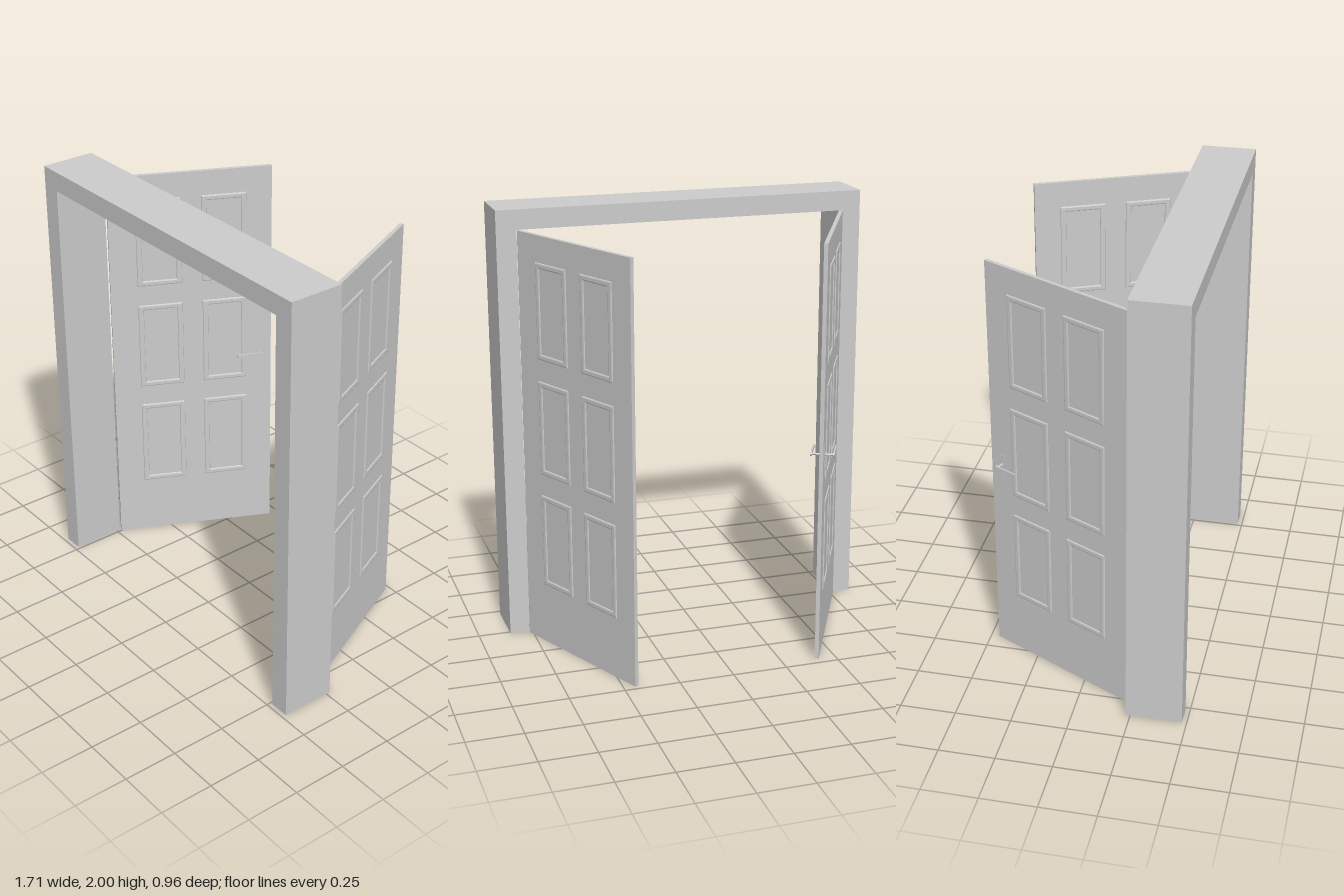
import * as THREE from 'three';

const HEIGHT = 1.91, WIDTH = 0.765, THICK = 0.018;
const material = new THREE.MeshStandardMaterial({ color: 0xcccccc, flatShading: true });

function add(parent, name, geometry, x = 0, y = 0, z = 0) {
  const mesh = new THREE.Mesh(geometry, material);
  mesh.name = name;
  mesh.position.set(x, y, z);
  parent.add(mesh);
  return mesh;
}

// Rectangle centred on the origin, as a shape or as a hole
function rectangle(path, w, h) {
  return path.moveTo(-w / 2, -h / 2).lineTo(w / 2, -h / 2).lineTo(w / 2, h / 2).lineTo(-w / 2, h / 2).closePath();
}

// Bevelled moulding ring that stands proud of both door faces
function mouldingGeometry(w, h, border) {
  const shape = rectangle(new THREE.Shape(), w, h);
  shape.holes.push(rectangle(new THREE.Path(), w - 2 * border, h - 2 * border));
  const bevel = 0.006, depth = THICK;
  return new THREE.ExtrudeGeometry(shape, {
    depth, bevelEnabled: true, bevelThickness: 0.005, bevelSize: bevel, bevelOffset: -bevel, bevelSegments: 2,
  }).translate(0, 0, -depth / 2);
}

// Door leaf: hinge at the local origin, leaf running along +x
function makeDoor(name) {
  const door = new THREE.Group();
  door.name = name;
  add(door, 'doorLeaf', new THREE.BoxGeometry(WIDTH, HEIGHT, THICK), WIDTH / 2, HEIGHT / 2, 0);
  const moulding = mouldingGeometry(0.212, 0.435, 0.026);
  for (const x of [0.233, 0.54])
    for (const y of [0.503, 1.038, 1.573]) add(door, 'panelMoulding', moulding, x, y, 0);
  return door;
}

// Lever handle on both faces with a slim back plate and keyhole
function makeHandle() {
  const handle = new THREE.Group();
  handle.name = 'handle';
  add(handle, 'spindle', new THREE.CylinderGeometry(0.005, 0.005, 0.104, 12).rotateX(Math.PI / 2));
  for (const side of [1, -1]) {
    add(handle, 'lever', new THREE.BoxGeometry(0.115, 0.016, 0.007), -0.053, 0, side * 0.05);
    add(handle, 'leverHub', new THREE.CylinderGeometry(0.011, 0.011, 0.008, 16).rotateX(Math.PI / 2), 0, 0, side * 0.05);
    add(handle, 'backPlate', new THREE.BoxGeometry(0.026, 0.14, 0.003), 0, -0.025, side * 0.0095);
    add(handle, 'keyhole', new THREE.CylinderGeometry(0.005, 0.005, 0.004, 10).rotateX(Math.PI / 2), 0, -0.05, side * 0.011);
  }
  return handle;
}

export function createModel() {
  const model = new THREE.Group();
  model.name = 'doubleDoor';

  // Frame: two jambs and a header in one extruded outline
  const outline = new THREE.Shape();
  [[-0.855, 0], [-0.763, 0], [-0.763, HEIGHT], [0.763, HEIGHT], [0.763, 0], [0.855, 0], [0.855, 2], [-0.855, 2]]
    .forEach(([x, y], i) => (i ? outline.lineTo(x, y) : outline.moveTo(x, y)));
  add(model, 'doorFrame', new THREE.ExtrudeGeometry(outline, { depth: 0.249, bevelEnabled: false }), 0, 0, 0.23);

  // Both doors swung open towards the back
  const rightDoor = makeDoor('rightDoor');
  rightDoor.position.set(-0.759, 0, 0.224);
  rightDoor.rotation.y = THREE.MathUtils.degToRad(63);
  const handle = makeHandle();
  handle.position.set(0.702, 0.957, 0);
  rightDoor.add(handle);

  const leftDoor = makeDoor('leftDoor');
  leftDoor.position.set(0.756, 0, 0.222);
  leftDoor.rotation.y = THREE.MathUtils.degToRad(114.4);

  model.add(rightDoor, leftDoor);
  return model;
}
